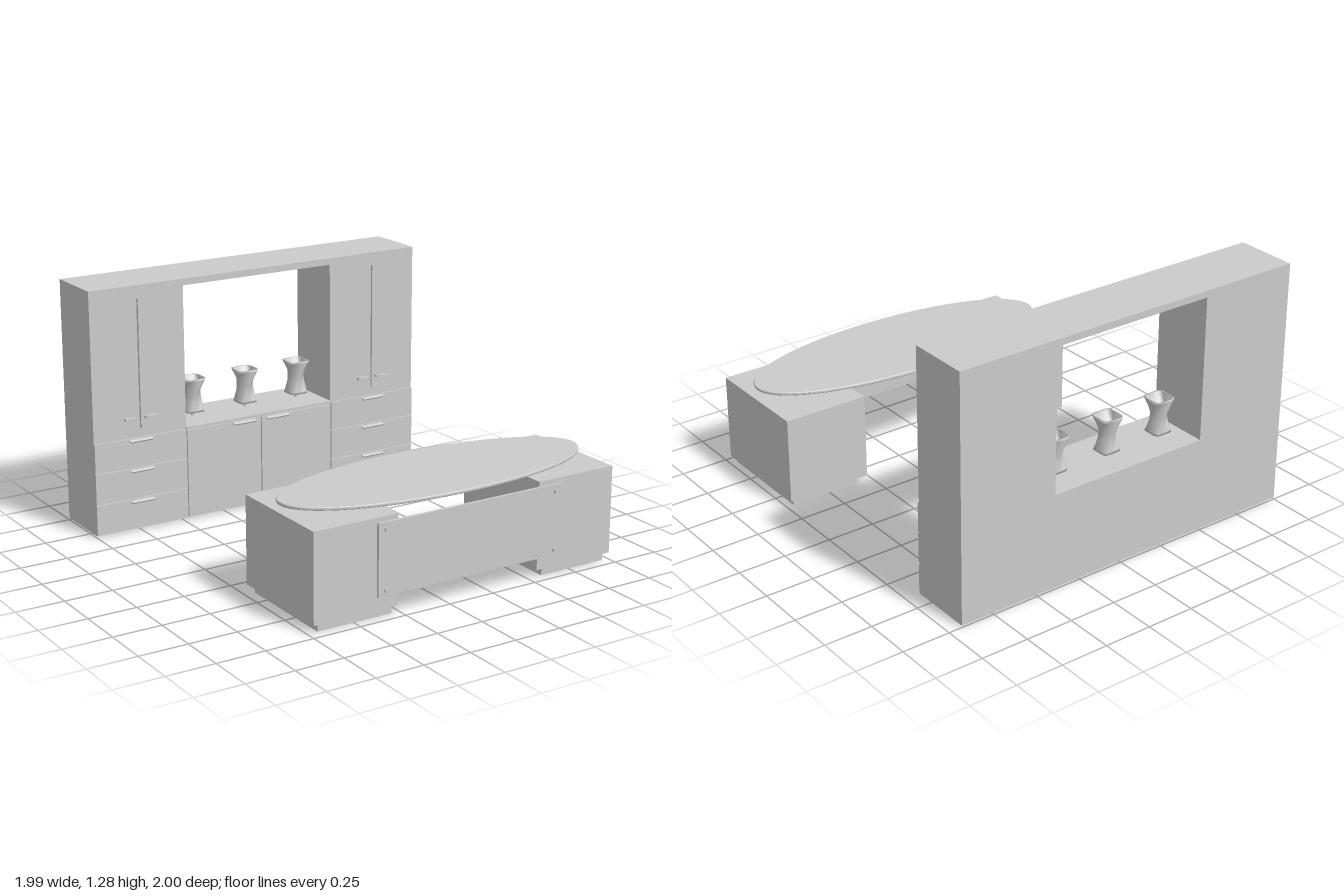
import * as THREE from 'three';

const mat = new THREE.MeshStandardMaterial({ color: 0xcccccc });
const matDouble = new THREE.MeshStandardMaterial({ color: 0xcccccc, side: THREE.DoubleSide });

export function createModel() {
  const model = new THREE.Group();

  const add = (name, geo, parent = model, material = mat) => {
    const mesh = new THREE.Mesh(geo, material);
    mesh.name = name;
    parent.add(mesh);
    return mesh;
  };
  // Box given by its limits on each axis
  const box = (name, x0, x1, y0, y1, z0, z1, parent) => {
    const mesh = add(name, new THREE.BoxGeometry(x1 - x0, y1 - y0, z1 - z0), parent);
    mesh.position.set((x0 + x1) / 2, (y0 + y1) / 2, (z0 + z1) / 2);
    return mesh;
  };
  const rect = (Type, x0, x1, y0, y1) => new Type([[x0, y0], [x1, y0], [x1, y1], [x0, y1]]
    .map(([x, y]) => new THREE.Vector2(x, y)));

  // ---- Wall unit ----
  const wall = new THREE.Group();
  wall.name = 'wallUnit';
  model.add(wall);
  const doorGaps = [-0.735, 0.667];
  const frame = (name, z0, z1, withGaps) => {
    const shape = rect(THREE.Shape, -1, 0.93, 0.01, 1.285);
    shape.holes.push(rect(THREE.Path, -0.475, 0.402, 0.495, 1.25));
    if (withGaps) for (const x of doorGaps) shape.holes.push(rect(THREE.Path, x - 0.004, x + 0.004, 0.54, 1.215));
    const geo = new THREE.ExtrudeGeometry(shape, { depth: z1 - z0, bevelEnabled: false });
    add(name, geo.translate(0, 0, z0), wall);
  };
  frame('cabinetBody', -1, -0.69, false);
  frame('cabinetFront', -0.69, -0.675, true);
  box('counter', -0.475, 0.402, 0.493, 0.505, -1, -0.665, wall);

  // Slanted pull along the top edge of a drawer or base door
  const pull = (x, y) => {
    const mesh = box('pull', x - 0.066, x + 0.066, y - 0.004, y + 0.004, -0.672, -0.65, wall);
    mesh.rotation.x = 0.5;
  };

  // Drawer stacks on both sides
  const rows = [[0.013, 0.172], [0.177, 0.337], [0.342, 0.497]];
  for (const [x0, x1] of [[-1, -0.478], [0.406, 0.93]]) {
    for (const [y0, y1] of rows) {
      box('drawerFront', x0, x1, y0, y1, -0.68, -0.665, wall);
      pull((x0 + x1) / 2, y1 - 0.012);
    }
  }
  // Base doors under the counter
  for (const [x0, x1, handleX] of [[-0.472, -0.037, -0.135], [-0.029, 0.4, 0.067]]) {
    box('baseDoor', x0, x1, 0.016, 0.487, -0.68, -0.665, wall);
    pull(handleX, 0.478);
  }
  // Handles of the tall doors
  for (const x of doorGaps) {
    for (const s of [-1, 1]) {
      const c = x + s * 0.058;
      box('doorHandle', c - 0.034, c + 0.034, 0.594, 0.605, -0.68, -0.655, wall);
    }
  }

  // ---- Vases and ceiling lights in the niche ----
  // Rounded-square section, waisted and twisted with height, open at the top
  const vaseGeometry = () => {
    const n = 32, levels = 16, pos = [], idx = [];
    const ring = (t, scale) => {
      const r = (0.038 + 0.021 * Math.pow(Math.abs(t - 0.42) / 0.58, 1.6)) * scale;
      const twist = (1 - t) * Math.PI / 2;
      for (let i = 0; i < n; i++) {
        const a = i / n * Math.PI * 2;
        const k = r / Math.pow(Math.cos(a) ** 6 + Math.sin(a) ** 6, 1 / 6);
        pos.push(k * Math.cos(a + twist), t * 0.18, k * Math.sin(a + twist));
      }
    };
    ring(0, 0.001);
    for (let j = 0; j <= levels; j++) ring(j / levels, 1);
    for (const [t, s] of [[1, 0.85], [0.7, 0.82], [0.7, 0.001]]) ring(t, s);
    const count = pos.length / 3 / n;
    for (let j = 0; j < count - 1; j++) {
      for (let i = 0; i < n; i++) {
        const a = j * n + i, b = j * n + (i + 1) % n;
        idx.push(a, a + n, b, b, a + n, b + n);
      }
    }
    const geo = new THREE.BufferGeometry();
    geo.setAttribute('position', new THREE.Float32BufferAttribute(pos, 3));
    geo.setIndex(idx);
    geo.computeVertexNormals();
    return geo;
  };
  const vaseGeo = vaseGeometry();
  const lampProfile = [[0.026, 0.015], [0.026, 0], [0.042, 0], [0.042, 0.015]]
    .map(([r, y]) => new THREE.Vector2(r, y));
  for (const x of [-0.345, -0.028, 0.288]) {
    add('vase', vaseGeo, wall, matDouble).position.set(x, 0.53, -0.84);
    add('vaseFoot', new THREE.CylinderGeometry(0.009, 0.009, 0.03, 16), wall).position.set(x, 0.518, -0.84);
    add('ceilingLight', new THREE.LatheGeometry(lampProfile, 32), wall, matDouble).position.set(x, 1.235, -0.84);
  }

  // ---- Desk ----
  const desk = new THREE.Group();
  desk.name = 'desk';
  model.add(desk);
  for (const [x0, x1, p0, p1, s0, s1] of [
    [-0.725, -0.27, -0.695, -0.293, -0.43, -0.295],
    [0.54, 0.99, 0.583, 0.962, 0.56, 0.69],
  ]) {
    box('pedestal', x0, x1, 0.04, 0.49, 0.363, 0.96, desk);
    box('plinth', p0, p1, 0, 0.035, 0.39, 0.943, desk);
    box('plinthNeck', p0 + 0.02, p1 - 0.02, 0.03, 0.045, 0.41, 0.923, desk);
    box('topSupport', s0, s1, 0.485, 0.53, 0.61, 0.73, desk);
  }

  // Oval top with a softened rim
  const oval = new THREE.Shape();
  oval.absellipse(0, 0, 0.843, 0.306, 0, Math.PI * 2);
  const topGeo = new THREE.ExtrudeGeometry(oval, {
    depth: 0.006, bevelThickness: 0.006, bevelSize: 0.006, bevelSegments: 3, curveSegments: 64,
  });
  topGeo.rotateX(-Math.PI / 2);
  add('deskTop', topGeo, desk).position.set(0.122, 0.533, 0.675);

  // Front panel held off the pedestals by bolts
  box('frontPanel', -0.395, 0.66, 0.112, 0.472, 0.974, 0.988, desk);
  for (const x of [-0.352, 0.62]) {
    for (const y of [0.14, 0.437]) {
      const spacer = add('panelSpacer', new THREE.CylinderGeometry(0.009, 0.009, 0.03, 20), desk);
      spacer.rotation.x = Math.PI / 2;
      spacer.position.set(x, y, 0.968);
      const bolt = add('panelBolt', new THREE.CylinderGeometry(0.012, 0.012, 0.014, 24), desk);
      bolt.rotation.x = Math.PI / 2;
      bolt.position.set(x, y, 0.993);
    }
  }

  return model;
}
